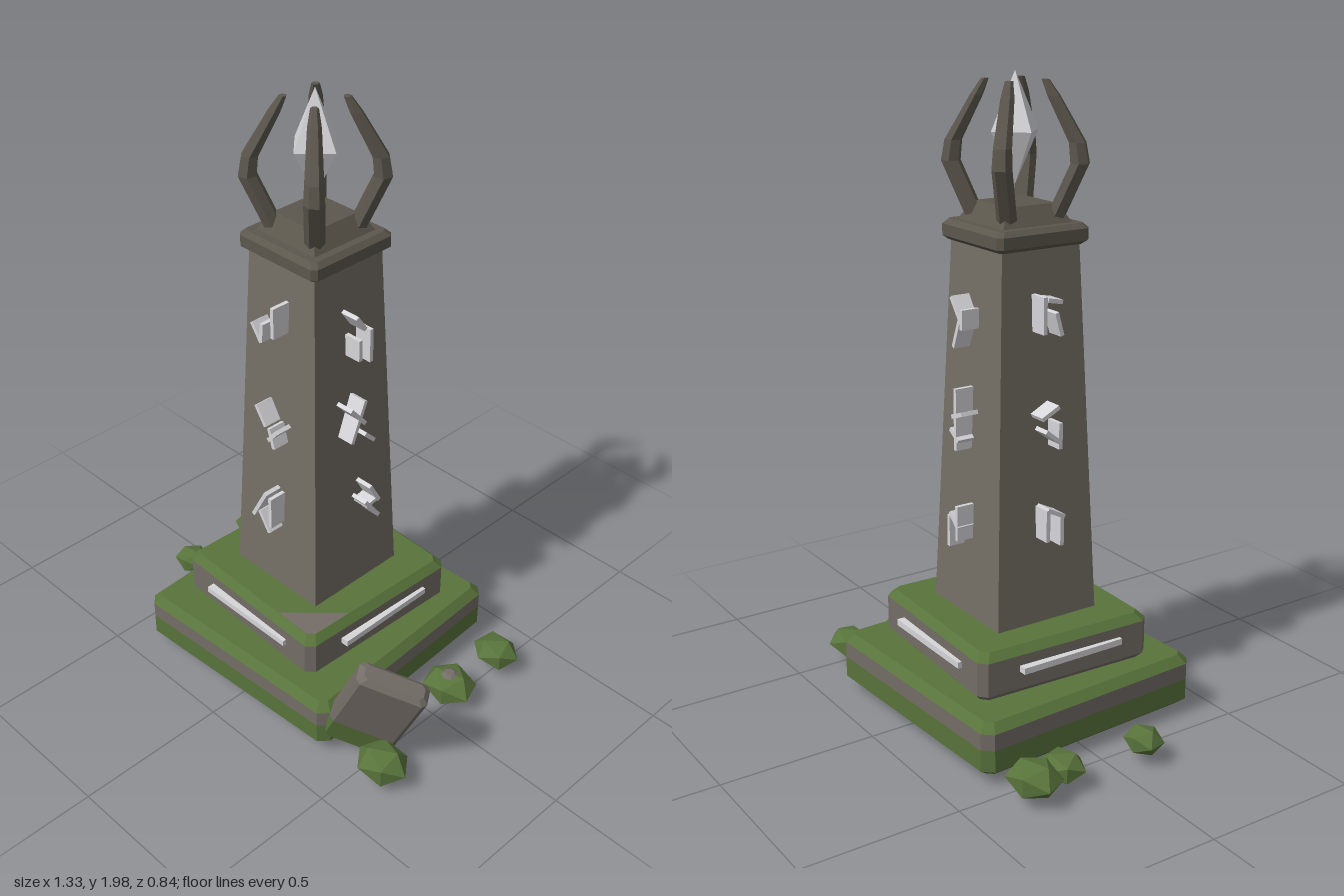
import * as THREE from 'three';

const mat = (name, color) => {
  const m = new THREE.MeshStandardMaterial({ color, flatShading: true });
  m.name = name;
  return m;
};

// Block built from chamfered rectangular rings [y, halfX, halfZ, cornerCut].
// bands[i] is the material index between ring i and i + 1; caps = [bottom, top].
function chamferBlock(rings, bands, caps) {
  const pos = [];
  const geo = new THREE.BufferGeometry();
  const loops = rings.map(([y, x, z, c]) => [
    [x, y, z - c], [x, y, c - z], [x - c, y, -z], [c - x, y, -z],
    [-x, y, c - z], [-x, y, z - c], [c - x, y, z], [x - c, y, z],
  ]);
  const addGroup = (material, fill) => {
    const start = pos.length / 3;
    fill();
    geo.addGroup(start, pos.length / 3 - start, material);
  };
  bands.forEach((material, i) => addGroup(material, () => {
    for (let k = 0; k < 8; k++) {
      const n = (k + 1) % 8;
      const [a, b, c, d] = [loops[i][k], loops[i][n], loops[i + 1][n], loops[i + 1][k]];
      pos.push(...a, ...b, ...c, ...a, ...c, ...d);
    }
  }));
  const low = loops[0], top = loops[loops.length - 1];
  addGroup(caps[0], () => { for (let k = 1; k < 7; k++) pos.push(...low[0], ...low[k + 1], ...low[k]); });
  addGroup(caps[1], () => { for (let k = 1; k < 7; k++) pos.push(...top[0], ...top[k], ...top[k + 1]); });
  geo.setAttribute('position', new THREE.Float32BufferAttribute(pos, 3));
  geo.computeVertexNormals();
  return geo;
}

// Square frustum with flat sides on the x and z axes
function frustum(topHalf, lowHalf, y0, y1) {
  const g = new THREE.CylinderGeometry(topHalf * Math.SQRT2, lowHalf * Math.SQRT2, y1 - y0, 4);
  return g.rotateY(Math.PI / 4).translate(0, (y0 + y1) / 2, 0);
}

// Tapered hexagonal prong that bows outward: rows of [y, distance, radius], top first
function prongGeometry() {
  const rows = [[1.975, 0.088, 0.012], [1.93, 0.112, 0.02], [1.8, 0.182, 0.027], [1.74, 0.19, 0.03], [1.58, 0.118, 0.03]];
  const g = new THREE.CylinderGeometry(1, 1, 1, 6, rows.length - 1);
  const p = g.attributes.position;
  for (let i = 0; i < p.count; i++) {
    const [y, d, r] = rows[Math.round((0.5 - p.getY(i)) * (rows.length - 1))];
    p.setXYZ(i, d + p.getX(i) * r, y, p.getZ(i) * r);
  }
  g.computeVertexNormals();
  return g;
}

export function createModel() {
  const stone = mat('stone', 0x746f65);
  const darkStone = mat('dark stone', 0x5c574d);
  const slabStone = mat('slab stone', 0x746d67);
  const moss = mat('moss', 0x58733b);
  const pale = mat('pale crystal', 0xd6d6da);

  const model = new THREE.Group();
  const monument = new THREE.Group();
  monument.name = 'monument';
  monument.position.x = -0.035;
  model.add(monument);
  const add = (parent, name, geo, material) => {
    const m = new THREE.Mesh(geo, material);
    m.name = name;
    parent.add(m);
    return m;
  };

  // Stepped base, each step slightly twisted
  const mossy = [slabStone, moss];
  add(monument, 'lowerStep', chamferBlock([
    [0.045, 0.37, 0.37, 0.02], [0.07, 0.4, 0.4, 0.03], [0.138, 0.4, 0.4, 0.03],
    [0.19, 0.4, 0.4, 0.03], [0.216, 0.375, 0.375, 0.02],
  ], [1, 1, 0, 1], [1, 1]), mossy).rotation.y = 0.052;
  const upper = add(monument, 'upperStep', chamferBlock([
    [0.216, 0.285, 0.285, 0.02], [0.235, 0.303, 0.303, 0.025],
    [0.342, 0.303, 0.303, 0.025], [0.366, 0.28, 0.28, 0.02],
  ], [0, 0, 1], [0, 1]), mossy);
  upper.rotation.y = -0.035;

  // Bare corner patch on the upper step
  const patch = new THREE.Shape([[0.13, -0.28], [0.26, -0.28], [0.28, -0.26], [0.28, -0.12]].map((p) => new THREE.Vector2(...p)));
  add(upper, 'barePatch', new THREE.ShapeGeometry(patch).rotateX(-Math.PI / 2).translate(0, 0.368, 0), slabStone);

  // Shaft, collar and crown base
  add(monument, 'shaft', frustum(0.135, 0.18, 0.36, 1.515), stone);
  add(monument, 'collar', chamferBlock([
    [1.508, 0.145, 0.145, 0.012], [1.52, 0.16, 0.16, 0.015],
    [1.555, 0.16, 0.16, 0.015], [1.57, 0.145, 0.145, 0.012],
  ], [0, 0, 0], [0, 0]), [darkStone]);
  add(monument, 'crownBase', frustum(0.085, 0.122, 1.568, 1.625), darkStone);

  // Four prongs around the floating crystal
  const prong = prongGeometry();
  for (let i = 0; i < 4; i++) add(monument, 'prong', prong, darkStone).rotation.y = Math.PI / 4 + i * Math.PI / 2;
  const crystal = new THREE.OctahedronGeometry(0.083);
  const cp = crystal.attributes.position;
  for (let i = 0; i < cp.count; i++) {
    const y = cp.getY(i);
    cp.setY(i, Math.abs(y) < 0.01 ? 1.83 : y > 0 ? 2.0 : 1.675);
  }
  crystal.computeVertexNormals();
  add(monument, 'crystal', crystal, pale);

  // Rune strokes [u1, y1, u2, y2] per face: front, left, back, right
  const runes = [
    [[0.028, 1.3, 0.028, 1.4], [-0.06, 1.32, -0.022, 1.265], [-0.022, 1.27, -0.018, 1.33],
      [-0.04, 1.045, 0, 0.985], [0.015, 0.985, 0.035, 0.92], [0.01, 0.94, 0.048, 0.985],
      [-0.055, 0.63, 0.005, 0.74], [0.024, 0.62, 0.024, 0.73], [-0.025, 0.66, 0.018, 0.595]],
    [[-0.03, 1.37, 0.005, 1.32], [-0.015, 1.22, -0.015, 1.29], [0.03, 1.2, 0.03, 1.31],
      [-0.06, 1.07, 0, 1.0], [-0.055, 0.95, 0, 1.08], [0, 0.96, 0.04, 0.92],
      [0.015, 0.76, 0.055, 0.69], [-0.005, 0.71, 0.055, 0.63], [0.0, 0.69, 0.05, 0.7]],
    [[-0.035, 1.36, 0.01, 1.3], [0.01, 1.3, -0.025, 1.21], [0.02, 1.27, 0.02, 1.33],
      [0, 0.9, 0, 1.09], [-0.02, 1.0, 0.035, 1.02], [-0.03, 0.96, 0.015, 0.93],
      [-0.025, 0.59, -0.025, 0.69], [0.02, 0.62, 0.02, 0.73], [-0.02, 0.7, 0.025, 0.66]],
    [[-0.03, 1.27, -0.03, 1.38], [-0.02, 1.37, 0.03, 1.36], [0.03, 1.26, 0.01, 1.33],
      [-0.045, 1.02, 0.015, 1.05], [0.02, 0.92, 0.02, 1.0], [-0.03, 0.98, 0.02, 0.94],
      [-0.03, 0.64, -0.03, 0.74], [0.02, 0.62, 0.02, 0.72], [-0.03, 0.74, 0.03, 0.71]],
  ];
  runes.forEach((strokes, face) => {
    const side = new THREE.Group();
    side.name = 'runeFace';
    side.rotation.y = face * Math.PI / 2;
    monument.add(side);
    for (const [u1, y1, u2, y2] of strokes) {
      const y = (y1 + y2) / 2;
      const outer = y > 1.15 ? 0.202 : y > 0.85 ? 0.213 : 0.224;
      const bar = add(side, 'runeStroke', new THREE.BoxGeometry(0.013, Math.hypot(u2 - u1, y2 - y1), 0.09), pale);
      bar.position.set((u1 + u2) / 2, y, outer - 0.045);
      bar.rotation.z = -Math.atan2(u2 - u1, y2 - y1);
    }
    // Inlaid strip on the upper step
    add(side, 'inlayStrip', new THREE.BoxGeometry(0.36, 0.02, 0.04), pale).position.set(0, 0.3, 0.302);
  });

  // Fallen slab leaning on the base
  const slab = add(model, 'fallenSlab', chamferBlock([
    [-0.19, 0.095, 0.025, 0.012], [-0.175, 0.113, 0.04, 0.015], [-0.08, 0.113, 0.04, 0.015],
    [0.175, 0.113, 0.04, 0.015], [0.19, 0.095, 0.025, 0.012],
  ], [1, 1, 0, 0], [1, 0]), mossy);
  const tall = new THREE.Vector3(0.426, 0.905, 0).normalize();
  const thin = new THREE.Vector3(0.514, -0.243, 0.823).normalize();
  const wide = new THREE.Vector3().crossVectors(tall, thin).normalize();
  thin.crossVectors(wide, tall);
  slab.quaternion.setFromRotationMatrix(new THREE.Matrix4().makeBasis(wide, tall, thin));
  slab.position.set(0.495, 0.23, 0.272);

  // Mossy rubble: [x, z, halfX, halfZ, halfY, turn]
  const rocks = [
    [-0.565, -0.29, 0.095, 0.08, 0.055, 0.4], [-0.555, -0.185, 0.078, 0.068, 0.045, 1.1],
    [-0.57, 0.1, 0.066, 0.058, 0.045, 0.2], [0.495, -0.31, 0.082, 0.07, 0.05, 0.8],
    [0.49, -0.085, 0.095, 0.08, 0.055, 0.3], [0.57, 0.31, 0.092, 0.078, 0.058, 0.6],
  ];
  for (const [x, z, hx, hz, hy, turn] of rocks) {
    const g = new THREE.IcosahedronGeometry(1, 0).rotateY(turn).scale(hx, hy, hz);
    add(model, 'rubble', g, moss).position.set(x, 0.09, z);
  }
  // Bare tip on one rock
  add(model, 'bareRockTip', new THREE.CylinderGeometry(0.015, 0.03, 0.009, 7), slabStone).position.set(0.49, 0.137, -0.085);

  return model;
}
